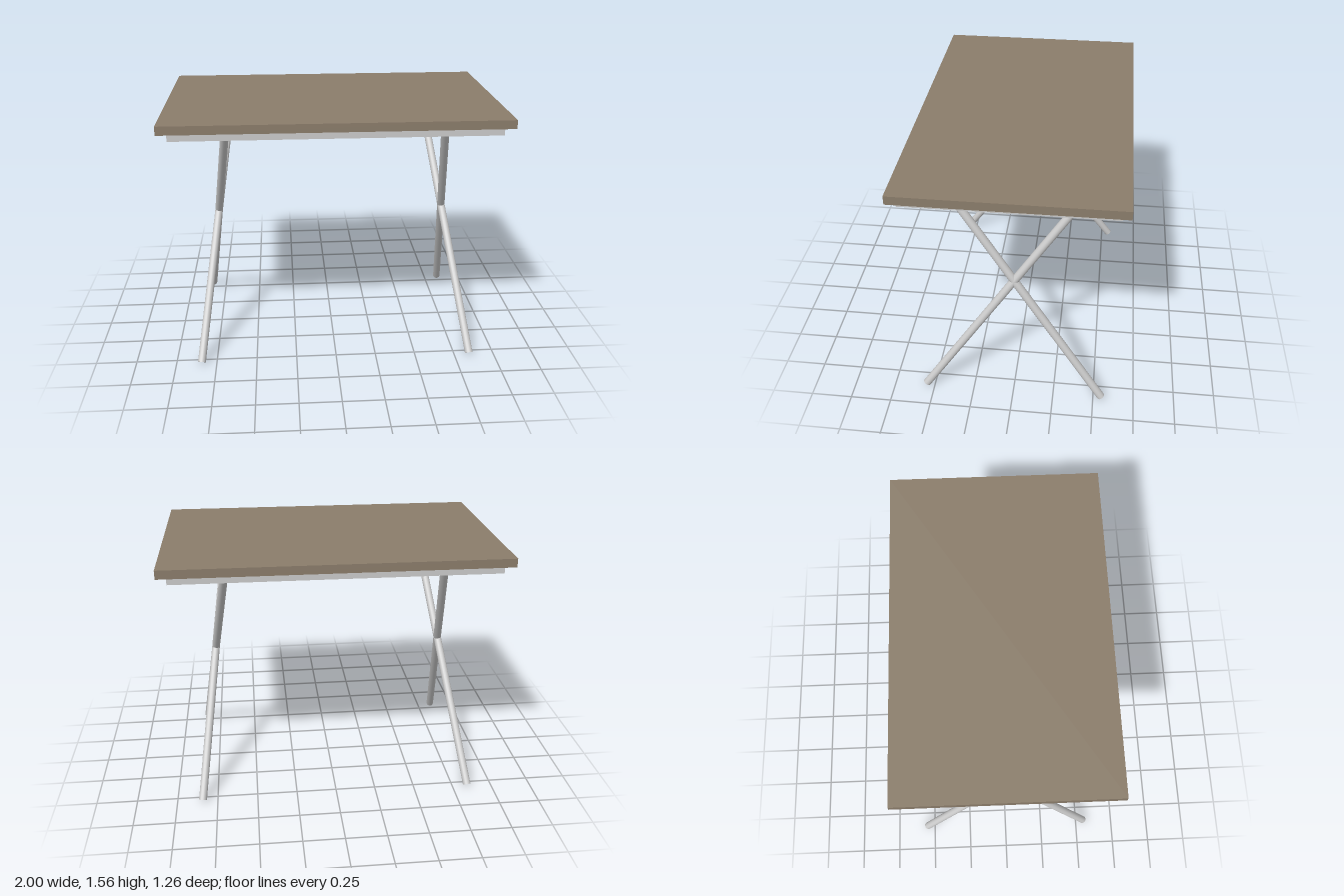
import * as THREE from 'three';

export function createModel() {
  const model = new THREE.Group();
  model.name = 'foldingTable';
  const wood = new THREE.MeshStandardMaterial({ color: 0x8b7d6b });
  const metal = new THREE.MeshStandardMaterial({ color: 0xcccccc });

  // Slab spanning y0..y1, centred on x and z
  function addSlab(name, width, depth, y0, y1, material) {
    const slab = new THREE.Mesh(new THREE.BoxGeometry(width, y1 - y0, depth), material);
    slab.name = name;
    slab.position.y = (y0 + y1) / 2;
    model.add(slab);
  }
  addSlab('tabletop', 2, 1.264, 1.506, 1.557, wood);
  addSlab('underPanel', 1.89, 1.176, 1.457, 1.498, metal);

  // Round rod between two points
  function makeRod(name, from, to, radius) {
    const axis = to.clone().sub(from);
    const rod = new THREE.Mesh(new THREE.CylinderGeometry(radius, radius, axis.length(), 16), metal);
    rod.name = name;
    rod.position.copy(from).add(to).multiplyScalar(0.5);
    rod.quaternion.setFromUnitVectors(new THREE.Vector3(0, 1, 0), axis.normalize());
    return rod;
  }

  // Crossed pair of legs at each end, leaning inward towards the top
  for (const side of [1, -1]) {
    const pair = new THREE.Group();
    pair.name = side > 0 ? 'leftCrossedLegs' : 'rightCrossedLegs';
    for (const end of [1, -1]) {
      const foot = new THREE.Vector3(side * 0.842, 0.014, end * 0.549);
      const head = new THREE.Vector3(side * 0.632, 1.488, end * -0.459);
      pair.add(makeRod(end > 0 ? 'frontFootLeg' : 'backFootLeg', foot, head, 0.0245));
    }
    model.add(pair);
  }
  return model;
}
